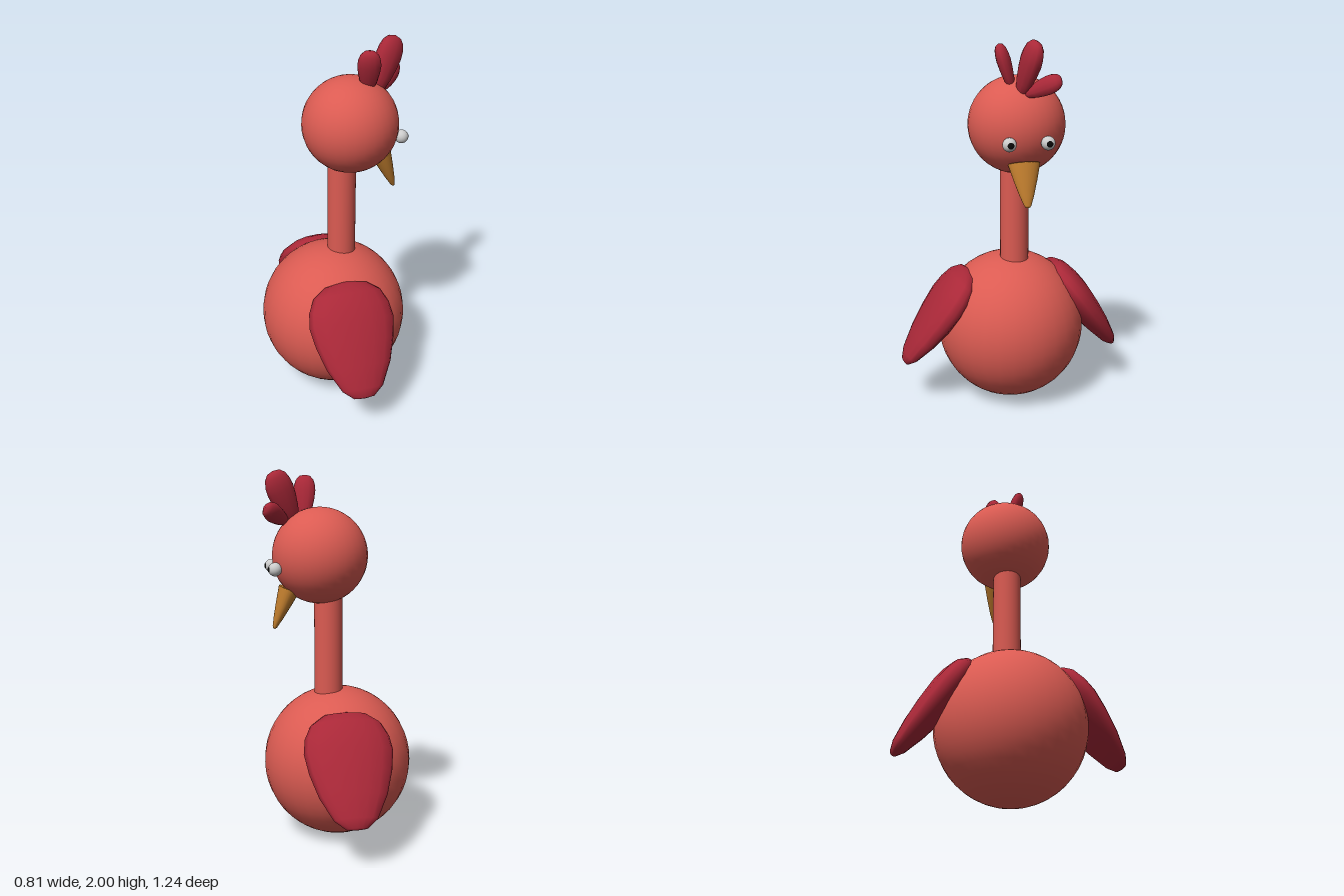
import * as THREE from 'three';

const material = (color) => new THREE.MeshStandardMaterial({ color });
const V = (x, y, z) => new THREE.Vector3(x, y, z);

// Radius and height (-1 narrow end, 1 wide end) of the petal and beak outlines
const PETAL = [[0, -1], [0.24, -0.98], [0.48, -0.83], [0.75, -0.45], [0.92, -0.05],
  [1, 0.3], [0.95, 0.55], [0.8, 0.78], [0.5, 0.94], [0, 1]];
const BEAK = [[0, -1], [0.13, -0.98], [0.22, -0.9], [0.45, -0.45], [0.72, 0.2], [1, 0.96], [0.97, 1], [0, 1]];

export function createModel() {
  const group = new THREE.Group();
  const skin = material(0xdb5b52);
  const feather = material(0xaa2838);
  const horn = material(0xc4802f);
  const white = material(0xd8d8d8);
  const black = material(0x0a0a0a);

  function add(name, geometry, mat, x = 0, y = 0, z = 0) {
    const mesh = new THREE.Mesh(geometry, mat);
    mesh.name = name;
    mesh.position.set(x, y, z);
    group.add(mesh);
    return mesh;
  }

  // Flattened lathe running from its narrow end to its wide end
  function tapered(name, profile, mat, narrow, wide, across, halfWidth, halfThick, sides = 16) {
    const points = profile.map(([r, h]) => new THREE.Vector2(r, h));
    const axis = wide.clone().sub(narrow);
    const half = axis.length() / 2;
    axis.normalize();
    const depth = across.clone().cross(axis).normalize();
    const width = axis.clone().cross(depth);
    const mesh = add(name, new THREE.LatheGeometry(points, sides), mat);
    mesh.position.copy(narrow).add(wide).multiplyScalar(0.5);
    mesh.quaternion.setFromRotationMatrix(new THREE.Matrix4().makeBasis(width, axis, depth));
    mesh.scale.set(halfWidth, half, halfThick);
    return mesh;
  }

  // Round body, neck and head
  add('body', new THREE.SphereGeometry(0.405, 32, 24), skin, 0, 0.42, 0).scale.set(1, 1.02, 1);
  add('neck', new THREE.CylinderGeometry(0.077, 0.077, 0.62, 32), skin, 0.05, 1.09, -0.01);
  add('head', new THREE.SphereGeometry(0.256, 32, 24), skin, 0.095, 1.56, -0.01);

  // Wings hang outward on both sides
  for (const [name, side] of [['leftSideWing', 1], ['rightSideWing', -1]]) {
    tapered(name, PETAL, feather, V(0, 0.24, side * 0.605), V(0, 0.75, side * 0.23),
      V(1, 0, 0), 0.236, 0.09);
  }

  // Eyes with pupils, looking along +x
  for (const z of [0.09, -0.11]) {
    add('eye', new THREE.SphereGeometry(0.036, 20, 14), white, 0.345, 1.5, z);
    add('pupil', new THREE.SphereGeometry(0.023, 16, 12), black, 0.361, 1.5, z);
  }

  // Beak points down and forward
  tapered('beak', BEAK, horn, V(0.345, 1.17, -0.007), V(0.262, 1.385, -0.007), V(0, 0, 1), 0.084, 0.056, 24);

  // Three crest feathers
  tapered('crestBack', PETAL, feather, V(0.175, 1.74, 0.03), V(0.16, 1.98, 0.1), V(1, 0, 0.35), 0.06, 0.037, 12);
  tapered('crestMiddle', PETAL, feather, V(0.225, 1.72, 0.01), V(0.345, 2.0, -0.05), V(1, 0, -0.3), 0.077, 0.046, 12);
  tapered('crestFront', PETAL, feather, V(0.27, 1.735, -0.01), V(0.395, 1.82, -0.16), V(0.5, -0.8, -0.1), 0.05, 0.033, 12);

  return group;
}
